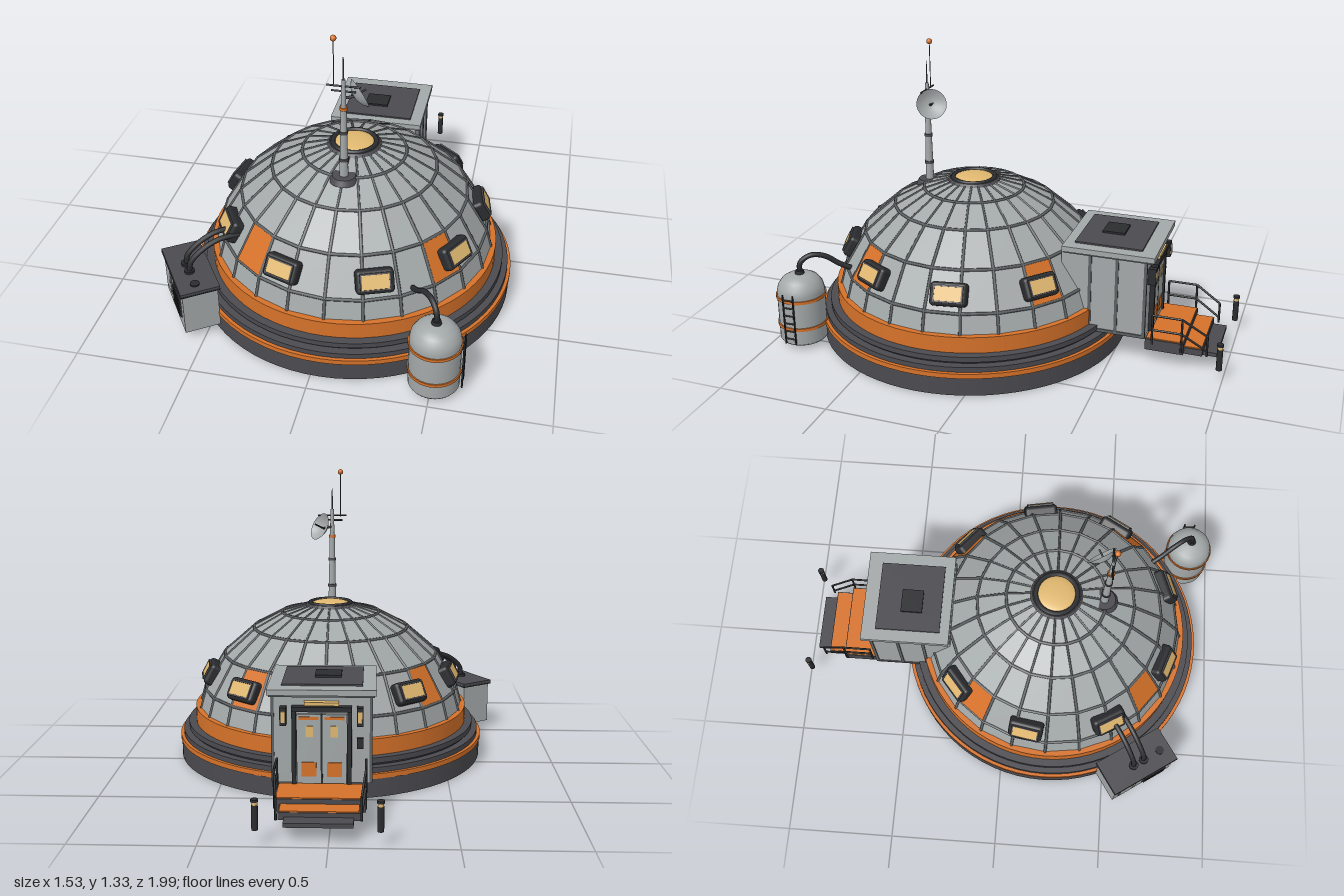
import * as THREE from 'three';
import { RoundedBoxGeometry } from 'three/addons/geometries/RoundedBoxGeometry.js';

const mat = (name, color, side = THREE.FrontSide) => {
  const m = new THREE.MeshStandardMaterial({ color, side });
  m.name = name;
  return m;
};
const V = (x, y, z) => new THREE.Vector3(x, y, z);
const rad = THREE.MathUtils.degToRad;
const box = (w, h, d) => new THREE.BoxGeometry(w, h, d);
const cyl = (rt, rb, h, n = 24) => new THREE.CylinderGeometry(rt, rb, h, n);
const flat = (g) => { const f = g.toNonIndexed(); f.computeVertexNormals(); return f; };

export function createModel() {
  const hull = mat('hull grey', 0xa3a8a8, THREE.DoubleSide);
  const rib = mat('rib grey', 0x5c6062);
  const dark = mat('base charcoal', 0x4b4a4f);
  const black = mat('black trim', 0x2b2c2f);
  const orange = mat('orange', 0xd6722a);
  const amber = mat('amber glass', 0xe0b870);

  const root = new THREE.Group();
  const group = (name, parent = root, x = 0, y = 0, z = 0) => {
    const g = new THREE.Group();
    g.name = name;
    g.position.set(x, y, z);
    parent.add(g);
    return g;
  };
  const add = (parent, name, geo, m, x = 0, y = 0, z = 0, rx = 0, ry = 0, rz = 0) => {
    const mesh = new THREE.Mesh(geo, m);
    mesh.name = name;
    mesh.position.set(x, y, z);
    mesh.rotation.set(rx, ry, rz);
    parent.add(mesh);
    return mesh;
  };
  // straight bar between two points
  const bar = (parent, name, p, q, r, m, n = 8) => {
    const d = q.clone().sub(p);
    const mesh = add(parent, name, cyl(r, r, d.length(), n), m);
    mesh.position.copy(p).add(q).multiplyScalar(0.5);
    mesh.quaternion.setFromUnitVectors(V(0, 1, 0), d.normalize());
    return mesh;
  };
  const pipe = (parent, name, pts, r, m) =>
    add(parent, name, new THREE.TubeGeometry(new THREE.CatmullRomCurve3(pts), 24, r, 10), m);

  // ---- stepped round base
  const dome = group('dome', root, 0.04, 0, 0.21);
  [['foundation', 0.715, 0, 0.085, dark], ['baseStripe', 0.72, 0.083, 0.105, orange],
    ['lowerStep', 0.705, 0.105, 0.128, dark], ['stepGroove', 0.67, 0.128, 0.14, black],
    ['upperStep', 0.68, 0.138, 0.162, dark], ['dome band', 0.645, 0.162, 0.235, orange]]
    .forEach(([n, r, y0, y1, m]) => add(dome, n, cyl(r, r, y1 - y0, 72), m, 0, (y0 + y1) / 2));
  add(dome, 'underside', cyl(0.712, 0.712, 0.004, 72), black, 0, 0.001);

  // ---- faceted shell, ribs and rings
  const N = 24, step = Math.PI * 2 / N;
  const prof = [[0.625, 0.23], [0.6, 0.32], [0.505, 0.478], [0.365, 0.6], [0.23, 0.672], [0.11, 0.705]];
  for (let k = 0; k < prof.length - 1; k++) {
    const [r0, y0] = prof[k], [r1, y1] = prof[k + 1];
    add(dome, 'shellRow', flat(new THREE.CylinderGeometry(r1, r0, y1 - y0, N, 1, true)), hull, 0, (y0 + y1) / 2);
    for (let i = 0; i < N; i++) {
      const s = Math.sin(i * step), c = Math.cos(i * step);
      bar(dome, 'rib', V(s * r0, y0, c * r0), V(s * r1, y1, c * r1), k > 2 ? 0.005 : 0.007, rib, 6);
    }
    if (k) add(dome, 'ring', new THREE.TorusGeometry(r0, 0.007, 6, N), rib, 0, y0, 0, Math.PI / 2);
  }
  [-37.5, 52.5, -127.5, 142.5].forEach((a) => add(dome, 'orangePanel', flat(new THREE.CylinderGeometry(
    0.509, 0.604, 0.158, 1, 1, true, rad(a - 7.5), step)), orange, 0, 0.4));

  // ---- skylight
  add(dome, 'skylightCollar', cyl(0.11, 0.13, 0.022, 36), dark, 0, 0.703);
  add(dome, 'skylightRim', new THREE.TorusGeometry(0.095, 0.011, 8, 36), black, 0, 0.713, 0, Math.PI / 2);
  add(dome, 'skylight', new THREE.SphereGeometry(0.088, 32, 8, 0, Math.PI * 2, 0, Math.PI / 2), amber, 0, 0.71)
    .scale.y = 0.2;

  // ---- windows
  [20, 60, 100, 140, -20, -60, -100, -140].forEach((a) => {
    const turn = group('windowMount', dome);
    turn.rotation.y = rad(a);
    const w = group('window', turn, 0, 0.388, 0.556);
    w.rotation.x = -0.5;
    add(w, 'windowFrame', new RoundedBoxGeometry(0.16, 0.102, 0.07, 3, 0.018), black, 0, 0, 0.003);
    add(w, 'windowPane', box(0.115, 0.06, 0.006), amber, 0, 0, 0.04);
    [-1, 1].forEach((s) => {
      add(w, 'windowTrim', box(0.125, 0.007, 0.01), dark, 0, s * 0.034, 0.04);
      add(w, 'windowTrim', box(0.007, 0.07, 0.01), dark, s * 0.061, 0, 0.04);
    });
  });

  // ---- entry module
  const entry = group('entry', root, 0.04, 0, 0);
  add(entry, 'entryBody', box(0.4, 0.375, 0.38), hull, 0, 0.3175, -0.46);
  add(entry, 'entryRoof', box(0.44, 0.024, 0.41), hull, 0, 0.515, -0.48);
  add(entry, 'roofEdge', box(0.425, 0.01, 0.395), rib, 0, 0.5, -0.48);
  add(entry, 'roofPanel', box(0.33, 0.008, 0.3), dark, 0, 0.53, -0.47);
  add(entry, 'roofHatch', box(0.11, 0.012, 0.1), black, -0.02, 0.537, -0.46);
  [-1, 1].forEach((s) => {
    [-0.645, -0.52, -0.4].forEach((z) => add(entry, 'wallRib', box(0.012, 0.37, 0.014), rib, s * 0.199, 0.317, z));
    add(entry, 'wallSill', box(0.012, 0.014, 0.38), rib, s * 0.199, 0.14, -0.46);
    // double door leaf with a small pane and painted panel
    add(entry, 'doorLeaf', box(0.098, 0.29, 0.014), hull, s * 0.052, 0.275, -0.657);
    add(entry, 'doorPane', box(0.03, 0.045, 0.006), amber, s * 0.05, 0.35, -0.665);
    add(entry, 'doorPanel', box(0.06, 0.06, 0.006), orange, s * 0.052, 0.19, -0.665);
    add(entry, 'doorStripe', box(0.08, 0.012, 0.006), orange, s * 0.052, 0.405, -0.665);
    add(entry, 'doorPost', box(0.018, 0.31, 0.03), black, s * 0.112, 0.285, -0.657);
    // wall lamp
    add(entry, 'lampHousing', box(0.026, 0.075, 0.035), black, s * 0.155, 0.415, -0.667);
    add(entry, 'lampGlass', box(0.016, 0.045, 0.006), amber, s * 0.155, 0.415, -0.686);
  });
  add(entry, 'doorLintel', box(0.242, 0.02, 0.04), black, 0, 0.445, -0.662);
  add(entry, 'doorCanopyLight', box(0.14, 0.014, 0.03), amber, 0, 0.467, -0.664);
  add(entry, 'doorSeam', box(0.008, 0.29, 0.016), black, 0, 0.275, -0.657);
  add(entry, 'keypad', box(0.025, 0.045, 0.015), black, -0.155, 0.3, -0.657);

  // ---- steps with railings and path lights
  const stairs = group('stairs', root, 0.04, 0, 0);
  [[0.36, 0.07, 0.122, -0.82, -0.65, orange], [0.32, 0.068, 0.098, -0.9, -0.81, orange],
    [0.27, 0.062, 0.08, -0.962, -0.89, null]].forEach(([w, y0, y1, z0, z1, top]) => {
    add(stairs, 'step', box(w, y1 - y0, z1 - z0), dark, 0, (y0 + y1) / 2, (z0 + z1) / 2);
    if (top) add(stairs, 'tread', box(w - 0.01, 0.005, z1 - z0 - 0.008), top, 0, y1 + 0.002, (z0 + z1) / 2);
  });
  [-1, 1].forEach((s) => {
    const x = s * 0.18, x2 = s * 0.165;
    [[x, -0.68, 0.24, 0.1], [x, -0.81, 0.24, 0.08], [x2, -0.92, 0.17, 0.075]].forEach(([px, z, t, b]) =>
      bar(stairs, 'railPost', V(px, b, z), V(px, t, z), 0.005, black));
    [0, -0.07].forEach((d) => {
      bar(stairs, 'rail', V(x, 0.24 + d, -0.68), V(x, 0.24 + d, -0.81), 0.005, black);
      bar(stairs, 'rail', V(x, 0.24 + d, -0.81), V(x2, 0.17 + d, -0.92), 0.005, black);
    });
    const light = group('pathLight', root, 0.04 + s * 0.238, 0, -0.985);
    add(light, 'lightPost', cyl(0.013, 0.013, 0.1, 14), black, 0, 0.112);
    add(light, 'lightGlass', cyl(0.012, 0.012, 0.014, 14), amber, 0, 0.168);
    add(light, 'lightCap', cyl(0.015, 0.015, 0.01, 14), black, 0, 0.18);
  });

  // ---- mast
  const mast = group('mast', root, 0.04, 0, 0.43);
  add(mast, 'mastFoot', cyl(0.05, 0.063, 0.025), dark, 0, 0.668);
  add(mast, 'mastPole', cyl(0.012, 0.019, 0.34, 14), hull, 0, 0.85);
  add(mast, 'mastTop', cyl(0.008, 0.011, 0.12, 12), hull, 0, 1.075);
  add(mast, 'mastNeedle', cyl(0.002, 0.004, 0.11, 8), rib, 0, 1.18);
  [[0.76, 0.021, dark], [0.89, 0.018, dark], [1.003, 0.017, orange]].forEach(([y, r, m]) =>
    add(mast, 'mastCollar', cyl(r, r, 0.013, 16), m, 0, y));
  bar(mast, 'crossArm', V(-0.07, 1.105, 0), V(0.07, 1.105, 0), 0.004, black);
  bar(mast, 'crossArm', V(-0.05, 1.082, 0), V(0.05, 1.082, 0), 0.004, black);
  bar(mast, 'whip', V(-0.04, 1.1, 0), V(-0.04, 1.31, 0), 0.002, rib);
  add(mast, 'beacon', new THREE.SphereGeometry(0.013, 16, 12), orange, -0.04, 1.315);
  // dish, opening along its local +y
  const dish = group('dish', mast, 0.05, 1.05, -0.04);
  dish.quaternion.setFromUnitVectors(V(0, 1, 0), V(0.75, 0.42, -0.5).normalize());
  const bowl = [[0, -0.018], [0.025, -0.015], [0.048, -0.005], [0.068, 0.012]].map((p) => new THREE.Vector2(...p));
  add(dish, 'dishBowl', new THREE.LatheGeometry(bowl, 28), hull);
  bar(dish, 'dishFeed', V(0, -0.015, 0), V(0, 0.04, 0), 0.004, black);
  bar(mast, 'dishArm', V(0, 1.05, 0), V(0.04, 1.045, -0.033), 0.006, dark);

  // ---- storage tank with bands, ladder and pipe
  const tank = group('tank', root, 0.508, 0, 0.875);
  const shell = [[0, 0.02], [0.1, 0.02], [0.107, 0.03], [0.107, 0.255], [0.1, 0.285], [0.08, 0.313], [0.05, 0.33], [0, 0.337]]
    .map((p) => new THREE.Vector2(...p));
  add(tank, 'tankShell', new THREE.LatheGeometry(shell, 32), hull);
  [0.102, 0.236].forEach((y) => add(tank, 'tankBand', cyl(0.112, 0.112, 0.014, 32), orange, 0, y));
  [-1, 1].forEach((s) => bar(tank, 'ladderRail', V(0.118, 0.035, s * 0.025), V(0.118, 0.275, s * 0.025), 0.004, black));
  for (let i = 0; i < 6; i++)
    bar(tank, 'ladderRung', V(0.118, 0.06 + i * 0.038, -0.025), V(0.118, 0.06 + i * 0.038, 0.025), 0.0035, black);
  add(tank, 'tankValve', cyl(0.018, 0.022, 0.02, 16), black, 0, 0.34);
  pipe(tank, 'tankPipe', [V(0, 0.33, 0), V(-0.003, 0.385, -0.005), V(-0.03, 0.416, -0.045),
    V(-0.065, 0.405, -0.095), V(-0.1, 0.36, -0.15), V(-0.13, 0.33, -0.2)], 0.012, black);

  // ---- service unit, its outer face along local +z
  const unit = group('serviceUnit', root, -0.6, 0, 0.645);
  unit.rotation.y = rad(-56.3);
  add(unit, 'unitBody', box(0.325, 0.2, 0.155), hull, 0, 0.135, 0);
  add(unit, 'unitLid', box(0.345, 0.016, 0.172), dark, 0, 0.243, 0);
  add(unit, 'unitLidEdge', box(0.347, 0.006, 0.174), black, 0, 0.235, 0);
  add(unit, 'ventRecess', box(0.12, 0.105, 0.006), dark, 0.06, 0.14, 0.079);
  for (let i = 0; i < 6; i++) add(unit, 'ventSlat', box(0.115, 0.008, 0.012), black, 0.06, 0.097 + i * 0.017, 0.081);
  add(unit, 'accessDoor', box(0.09, 0.13, 0.006), rib, -0.09, 0.15, 0.078);
  add(unit, 'accessDoorFace', box(0.084, 0.124, 0.006), hull, -0.09, 0.15, 0.08);
  add(unit, 'accessLatch', box(0.01, 0.014, 0.008), amber, -0.062, 0.15, 0.081);
  add(unit, 'lidCap', cyl(0.02, 0.02, 0.006, 20), black, 0.12, 0.254, 0.01);
  [-0.025, 0.03].forEach((x) => {
    add(unit, 'pipeSocket', cyl(0.022, 0.022, 0.014, 16), black, x, 0.256, 0.01);
    pipe(unit, 'unitPipe', [V(x, 0.25, 0.01), V(x, 0.3, 0), V(x, 0.355, -0.06), V(x, 0.385, -0.13), V(x, 0.39, -0.22)], 0.012, black);
  });

  return root;
}
